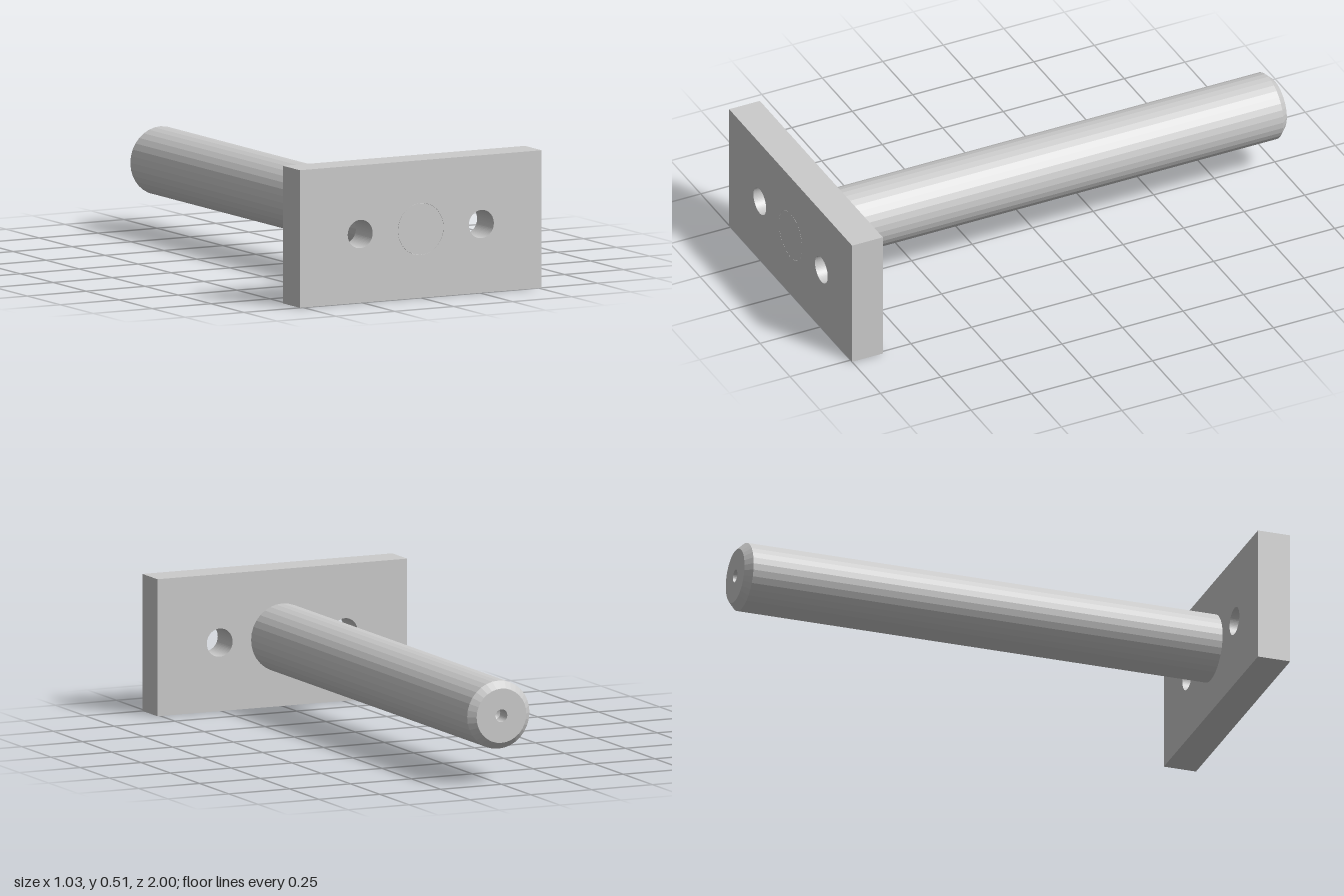
import * as THREE from 'three';

const W = 1.026, H = 0.515, T = 0.127, CY = H / 2;

export function createModel() {
  const group = new THREE.Group();
  const material = new THREE.MeshStandardMaterial({ color: 0xcccccc, flatShading: true });

  // Mounting plate with two screw holes and a bore for the pin
  const outline = new THREE.Shape([
    new THREE.Vector2(-W / 2, -CY), new THREE.Vector2(W / 2, -CY),
    new THREE.Vector2(W / 2, CY), new THREE.Vector2(-W / 2, CY),
  ]);
  for (const [x, r] of [[-0.257, 0.053], [0, 0.097], [0.257, 0.053]]) {
    outline.holes.push(new THREE.Path().absarc(x, 0, r, 0, Math.PI * 2, true));
  }
  const plate = new THREE.Mesh(
    new THREE.ExtrudeGeometry(outline, { depth: T, bevelEnabled: false, curveSegments: 32 }),
    material);
  plate.name = 'mountingPlate';
  plate.position.set(0, CY, 1 - T);
  group.add(plate);

  // Pin: spigot flush with the plate face, shoulder, shaft, chamfer, centre hole
  const profile = [
    [0, -1], [0.0965, -1], [0.0965, T - 1], [0.128, T - 1],
    [0.128, 0.973], [0.102, 1], [0.024, 1], [0.024, 0.94], [0, 0.926],
  ].map(([r, y]) => new THREE.Vector2(r, y));
  const pin = new THREE.Mesh(new THREE.LatheGeometry(profile, 32), material);
  pin.name = 'pin';
  pin.rotation.x = -Math.PI / 2;
  pin.position.y = CY;
  group.add(pin);

  return group;
}
